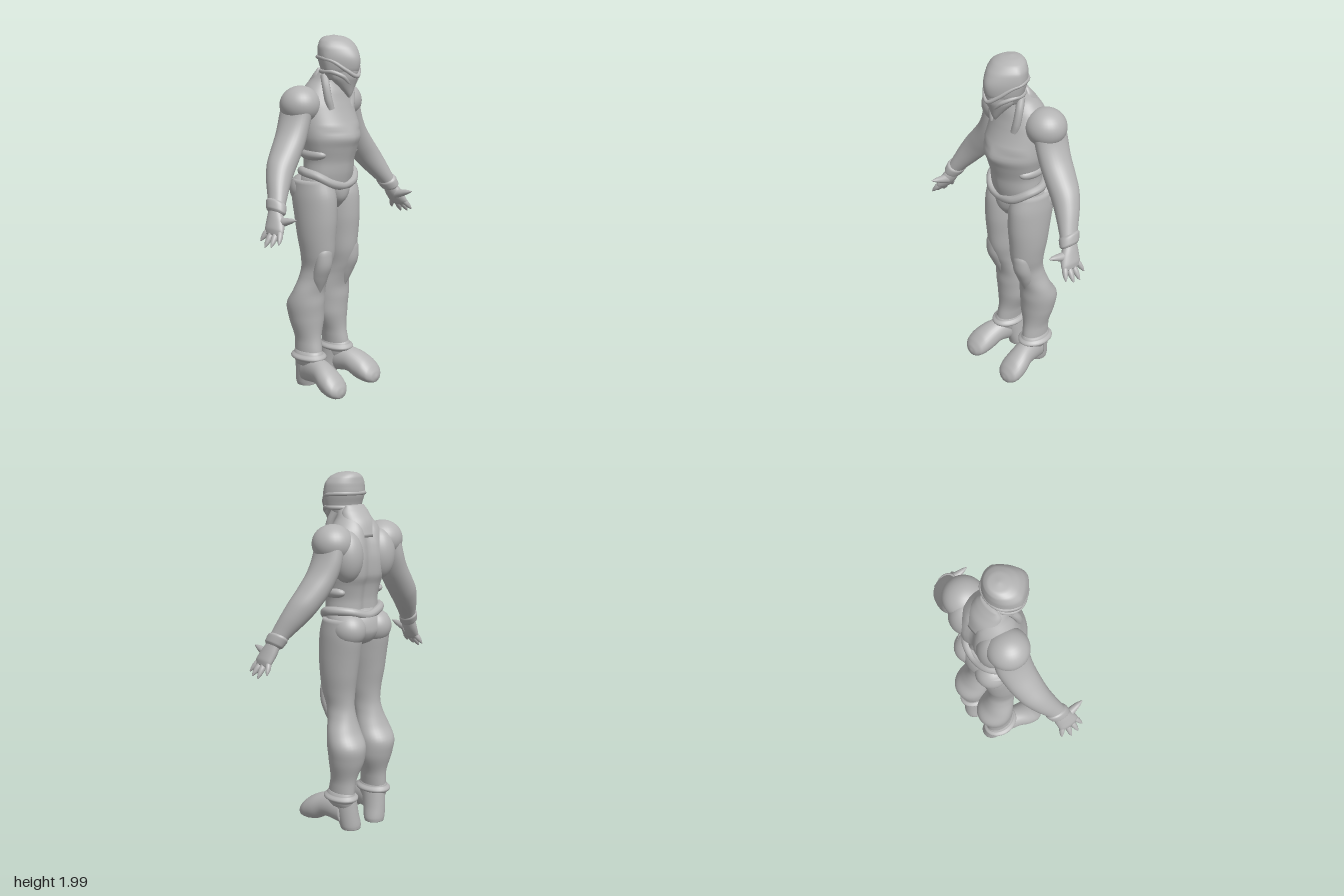
import * as THREE from 'three';

const V = (x, y, z) => new THREE.Vector3(x, y, z);
const grey = new THREE.MeshStandardMaterial({ color: 0xb4b4b4 });
grey.name = 'plain grey';

// Smooth skin through stations [x, y, z, halfU, halfW]; u and w span each cross-section.
function loft(stations, u, w, deform, n = 32, sub = 5) {
  const centre = new THREE.CatmullRomCurve3(stations.map(s => V(s[0], s[1], s[2])));
  const radius = new THREE.CatmullRomCurve3(stations.map(s => V(s[3], s[4], 0)));
  const steps = (stations.length - 1) * sub, pos = [], idx = [];
  const put = p => { if (deform) deform(p); pos.push(p.x, p.y, p.z); };
  for (let i = 0; i <= steps; i++) {
    const c = centre.getPoint(i / steps), r = radius.getPoint(i / steps);
    for (let j = 0; j < n; j++) {
      const a = j / n * Math.PI * 2;
      put(c.clone().addScaledVector(u, Math.cos(a) * r.x).addScaledVector(w, Math.sin(a) * r.y));
    }
  }
  put(centre.getPoint(0));
  put(centre.getPoint(1));
  const first = (steps + 1) * n, flip = u.clone().cross(w).dot(centre.getPoint(1).sub(centre.getPoint(0))) < 0;
  const tri = (a, b, c) => flip ? idx.push(a, c, b) : idx.push(a, b, c);
  for (let j = 0; j < n; j++) {
    const k = (j + 1) % n;
    for (let i = 0; i < steps; i++) {
      const a = i * n + j, b = i * n + k;
      tri(a, b, b + n);
      tri(a, b + n, a + n);
    }
    tri(first, k, j);
    tri(first + 1, steps * n + j, steps * n + k);
  }
  const g = new THREE.BufferGeometry();
  g.setAttribute('position', new THREE.Float32BufferAttribute(pos, 3));
  g.setIndex(idx);
  g.computeVertexNormals();
  return g;
}

const ball = (x, y, z, rx, ry, rz) => new THREE.SphereGeometry(1, 32, 20).scale(rx, ry, rz).translate(x, y, z);
const tube = (pts, r, closed = false) =>
  new THREE.TubeGeometry(new THREE.CatmullRomCurve3(pts.map(p => V(...p)), closed), 64, r, 10, closed);
const ring = half => [...half, ...half.slice(1, -1).reverse().map(([x, y, z]) => [-x, y, z])];

export function createModel() {
  const model = new THREE.Group();
  const add = (name, geometry, parent = model) => {
    const m = new THREE.Mesh(geometry, grey);
    m.name = name;
    parent.add(m);
  };
  const X = V(1, 0, 0), Y = V(0, 1, 0), Z = V(0, 0, 1);

  // Torso with a spine groove and a gently keeled chest
  add('torso', loft([
    [0, 1.14, -.04, .14, .12], [0, 1.25, -.02, .155, .13], [0, 1.32, -.015, .152, .135],
    [0, 1.40, -.01, .172, .155], [0, 1.46, -.012, .186, .175], [0, 1.55, -.035, .187, .156],
    [0, 1.63, -.045, .178, .135], [0, 1.70, -.045, .145, .115], [0, 1.76, -.035, .10, .085],
    [0, 1.82, .0, .07, .06],
  ], X, Z, p => {
    if (p.z < -.06) p.z += .028 * Math.exp(-((p.x / .035) ** 2));
    else if (p.z > .04 && p.y < 1.5) p.z -= .12 * Math.abs(p.x) * (p.z - .04) / .1;
  }, 64));
  add('collar', loft([
    [0, 1.66, -.075, .14, .085], [0, 1.74, -.06, .10, .075], [0, 1.79, -.045, .085, .05], [0, 1.825, -.045, .06, .018],
  ], X, Z));

  // Pelvis, crotch guard and belt
  add('pelvis', loft([
    [0, 1.27, -.03, .15, .115], [0, 1.21, -.045, .172, .135], [0, 1.15, -.06, .15, .13],
    [0, 1.09, -.065, .08, .09], [0, 1.06, -.06, .02, .03],
  ], X, Z));
  add('crotchGuard', loft([
    [0, 1.23, .055, .07, .03], [0, 1.18, .055, .08, .045], [0, 1.12, .045, .06, .05], [0, 1.06, .025, .015, .025],
  ], X, Z));
  add('beltRim', tube(ring([
    [0, 1.185, .085], [.09, 1.205, .08], [.155, 1.25, .025], [.165, 1.265, -.05], [.10, 1.26, -.13], [0, 1.235, -.15],
  ]), .024, true));

  // Helmet, pointed to the front, with brow ridge and beaked face
  const point = p => { p.x *= 1 - .38 * THREE.MathUtils.clamp((p.z - .06) / .12, 0, 1); };
  add('helmet', loft([
    [0, 1.765, .055, .085, .085], [0, 1.82, .067, .112, .11], [0, 1.88, .06, .122, .122],
    [0, 1.935, .047, .117, .108], [0, 1.972, .03, .092, .085], [0, 1.992, .017, .055, .055], [0, 2, .015, .006, .006],
  ], X, Z, point, 48));
  add('face', loft([
    [0, 1.82, .085, .098, .09], [0, 1.775, .095, .092, .072], [0, 1.73, .11, .06, .04],
    [0, 1.69, .12, .024, .018], [0, 1.67, .122, .005, .006],
  ], X, Z, p => { p.x *= 1 - .35 * THREE.MathUtils.clamp((p.z - .07) / .1, 0, 1); }));
  add('browRidge', tube(ring([
    [0, 1.785, .175], [.055, 1.82, .145], [.098, 1.865, .09], [.115, 1.88, .04], [.075, 1.885, -.035], [0, 1.885, -.056],
  ]), .011, true));
  add('helmetRim', tube(ring([
    [0, 1.74, .14], [.06, 1.785, .13], [.098, 1.81, .08], [.10, 1.81, .03], [.065, 1.81, -.02], [0, 1.81, -.036],
  ]), .012, true));

  for (const [side, s] of [['left', 1], ['right', -1]]) {
    const half = new THREE.Group();
    half.name = side + 'Side';
    model.add(half);
    const m = list => list.map(([x, ...rest]) => [x * s, ...rest]);
    const part = (name, geometry) => add(name, geometry, half);
    const skin = (name, list, u = X, w = Z) => part(name, loft(m(list), u, w));

    // Trunk muscles
    part('shoulderBlade', ball(s * .115, 1.56, -.11, .09, .14, .09));
    part('ribMuscle', ball(s * .135, 1.365, -.02, .042, .035, .09));
    part('glute', ball(s * .092, 1.16, -.1, .095, .095, .1));
    part('neckCord', tube(m([[.085, 1.79, .02], [.10, 1.73, .045], [.098, 1.66, .06], [.085, 1.61, .065]]), .022));

    // Leg
    skin('leg', [
      [.10, 1.22, -.05, .088, .12], [.10, 1.12, -.042, .099, .14], [.10, 1.0, -.03, .10, .13],
      [.101, .9, -.025, .094, .117], [.098, .8, -.021, .084, .103], [.097, .72, -.032, .074, .09],
      [.10, .66, -.05, .08, .084], [.107, .58, -.076, .10, .087], [.109, .5, -.1, .108, .109],
      [.106, .41, -.096, .099, .1], [.114, .3, -.079, .066, .083], [.12, .22, -.07, .06, .088], [.12, .16, -.07, .055, .08],
    ]);
    skin('kneePad', [
      [.105, .88, .05, .02, .02], [.115, .82, .045, .05, .042], [.118, .74, .035, .052, .048],
      [.115, .66, .005, .045, .045], [.11, .57, -.02, .015, .025],
    ]);

    // Foot with a raised arch, heel block and ankle cuff
    skin('foot', [
      [.12, .11, -.1, .05, .07], [.125, .125, -.04, .062, .078], [.137, .125, .03, .068, .073],
      [.15, .1, .09, .078, .078], [.156, .08, .14, .08, .07], [.158, .062, .18, .07, .052],
      [.158, .05, .203, .042, .032], [.158, .048, .212, .008, .008],
    ], X, Y);
    skin('heel', [
      [.112, .2, -.08, .062, .08], [.102, .1, -.1, .06, .068], [.092, .035, -.112, .061, .06], [.09, .012, -.113, .056, .056],
    ]);
    skin('ankleCuff', [
      [.122, .235, -.07, .058, .086], [.123, .215, -.068, .068, .094], [.122, .18, -.068, .068, .094], [.118, .15, -.07, .058, .084],
    ]);

    // Arm
    const U = V(.82 * s, .57, 0);
    part('shoulder', ball(s * .178, 1.632, -.07, .113, .103, .112));
    skin('arm', [
      [.195, 1.66, -.07, .07, .1], [.222, 1.55, -.075, .068, .1], [.26, 1.46, -.07, .071, .094],
      [.315, 1.38, -.06, .074, .088], [.37, 1.31, -.045, .074, .08], [.42, 1.24, -.018, .063, .069],
      [.465, 1.17, .015, .047, .056], [.50, 1.11, .04, .036, .047],
    ], U);
    skin('wristCuff', [
      [.472, 1.16, .018, .042, .052], [.48, 1.148, .025, .05, .062], [.497, 1.115, .037, .045, .059], [.503, 1.105, .04, .034, .048],
    ], U);
    skin('palm', [
      [.495, 1.12, .035, .032, .042], [.52, 1.065, .055, .033, .058], [.542, 1.025, .066, .028, .062], [.555, 1.0, .07, .015, .052],
    ], U);

    // Fingers from knuckle to tip
    const fingers = [
      [[.54, 1.025, .108], [.585, .965, .135]], [[.55, 1.01, .085], [.60, .95, .095]],
      [[.55, 1.01, .055], [.598, .943, .05]], [[.54, 1.025, .025], [.575, .965, .0]],
    ];
    fingers.forEach(([a, b], i) => {
      const at = (t, r) => [...a.map((v, k) => v + (b[k] - v) * t), r, r];
      skin('finger' + (i + 1), [at(-.2, .014), at(.3, .0165), at(.7, .012), at(1, .003)], U);
    });
    skin('thumb', [
      [.515, 1.06, .07, .026, .03], [.512, 1.07, .115, .022, .022], [.51, 1.08, .155, .015, .014], [.509, 1.088, .188, .003, .003],
    ], X, Y);
  }
  return model;
}
